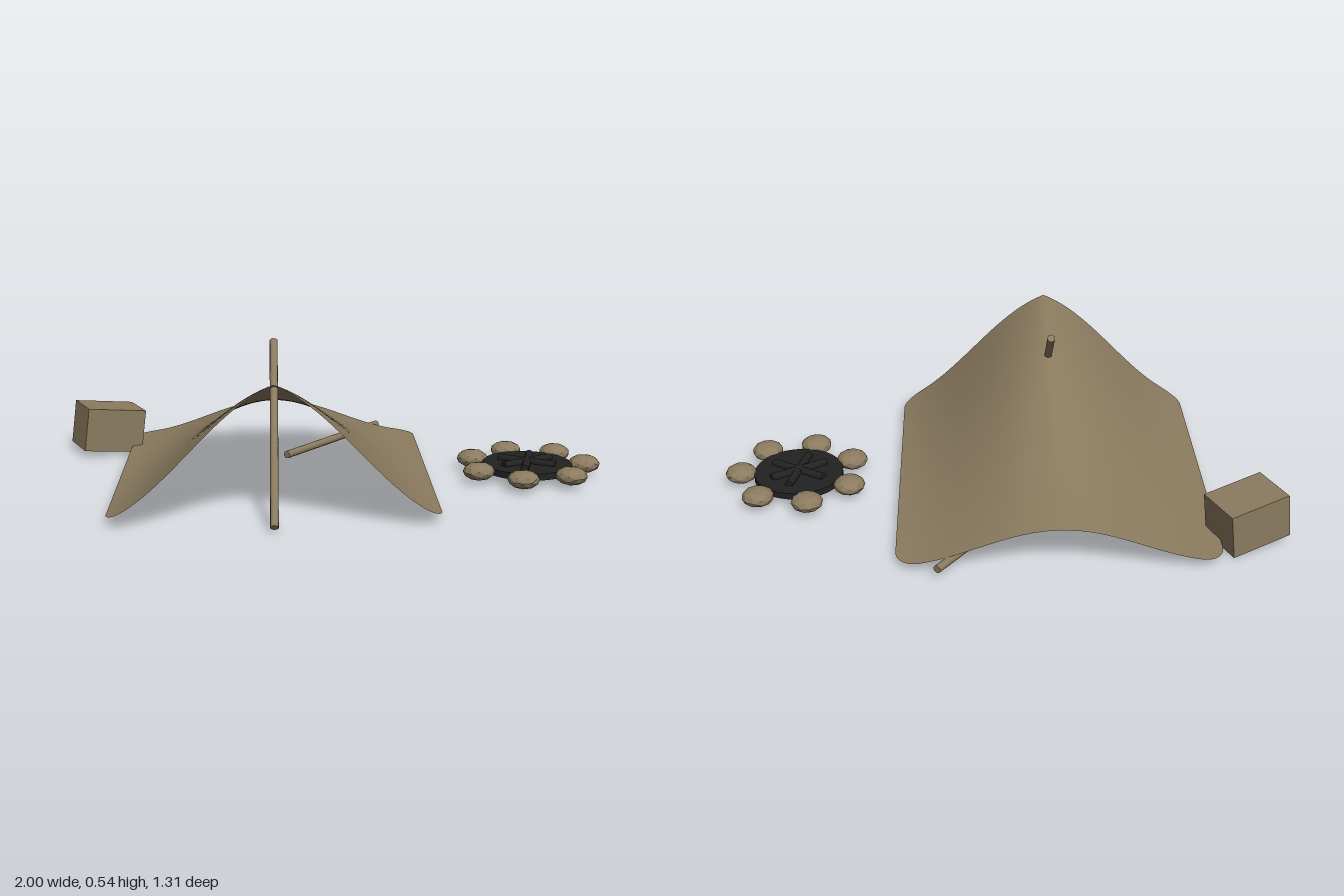
import * as THREE from 'three';

export function createModel() {
  const model = new THREE.Group();
  const canvas = new THREE.MeshStandardMaterial({ name: 'tan canvas', color: 0x8b7b5f, side: THREE.DoubleSide });
  const tan = new THREE.MeshStandardMaterial({ name: 'tan wood', color: 0x8b7b5f });
  const stoneTan = new THREE.MeshStandardMaterial({ name: 'tan stone', color: 0x8b7b5f, flatShading: true });
  const char = new THREE.MeshStandardMaterial({ name: 'charcoal', color: 0x222222 });

  const add = (name, geometry, material, parent = model) => {
    const mesh = new THREE.Mesh(geometry, material);
    mesh.name = name;
    parent.add(mesh);
    return mesh;
  };

  // Round rod between two points
  const rod = (name, from, to, radius, material, parent) => {
    const a = new THREE.Vector3(...from), b = new THREE.Vector3(...to);
    const mesh = add(name, new THREE.CylinderGeometry(radius, radius, a.distanceTo(b), 12), material, parent);
    mesh.position.copy(a).add(b).multiplyScalar(0.5);
    mesh.quaternion.setFromUnitVectors(new THREE.Vector3(0, 1, 0), b.sub(a).normalize());
    return mesh;
  };

  // Draped sheet: ridge along z sinking to the back, rounded corners in plan
  const halfW = 0.557, halfD = 0.603, corner = 0.08;
  const sheet = new THREE.PlaneGeometry(2, 2, 48, 56).rotateX(-Math.PI / 2);
  const pos = sheet.attributes.position;
  for (let i = 0; i < pos.count; i++) {
    const z = halfD * Math.sin(pos.getZ(i) * Math.PI / 2);
    const d = Math.min(corner, Math.max(0, Math.abs(z) - (halfD - corner)));
    const x = pos.getX(i) * (halfW - corner + Math.sqrt(corner * corner - d * d));
    const u = (halfD - z) / (2 * halfD);
    const ridge = 0.479 - 0.32 * u + 0.012 * Math.sin(2 * Math.PI * u);
    const t = Math.abs(x) / halfW;
    const wave = 0.5 + 0.5 * Math.cos(Math.PI * t);
    const fall = THREE.MathUtils.lerp(1 - t, wave, 0.5 + 0.5 * u);
    pos.setXYZ(i, x - 0.2, 0.028 + (ridge - 0.028) * fall, z);
  }
  sheet.computeVertexNormals();
  add('shelterCanopy', sheet, canvas);

  // Leaning support pole and a loose pole under the sheet
  rod('supportPole', [-0.2, 0.018, 0.648], [-0.2, 0.53, 0.094], 0.014, tan);
  rod('loosePole', [-0.155, 0.042, -0.17], [0.215, 0.042, -0.648], 0.014, tan);

  // Tilted crate
  const crate = add('crate', new THREE.BoxGeometry(0.23, 0.165, 0.175), tan);
  crate.position.set(-0.852, 0.097, -0.425);
  crate.rotation.set(0, 0.42, -0.13);

  // Fire pit: ash bed, crossed logs and a ring of seven stones
  const pit = new THREE.Group();
  pit.name = 'firePit';
  pit.position.set(0.73, 0, -0.005);
  model.add(pit);
  add('ashBed', new THREE.CylinderGeometry(0.163, 0.163, 0.024, 32), char, pit).position.y = 0.037;
  for (const degrees of [76, 30, -30]) {
    const a = THREE.MathUtils.degToRad(degrees);
    const x = 0.11 * Math.cos(a), z = -0.11 * Math.sin(a);
    rod('charredLog', [-x, 0.053, -z], [x, 0.053, z], 0.015, char, pit);
  }
  for (let i = 0; i < 7; i++) {
    const a = i * 2 * Math.PI / 7;
    const stone = add('ringStone', new THREE.IcosahedronGeometry(0.058, 1), stoneTan, pit);
    stone.scale.y = 0.56;
    stone.position.set(0.212 * Math.cos(a), 0.043, 0.212 * Math.sin(a));
    stone.rotation.y = -a;
  }

  return model;
}
